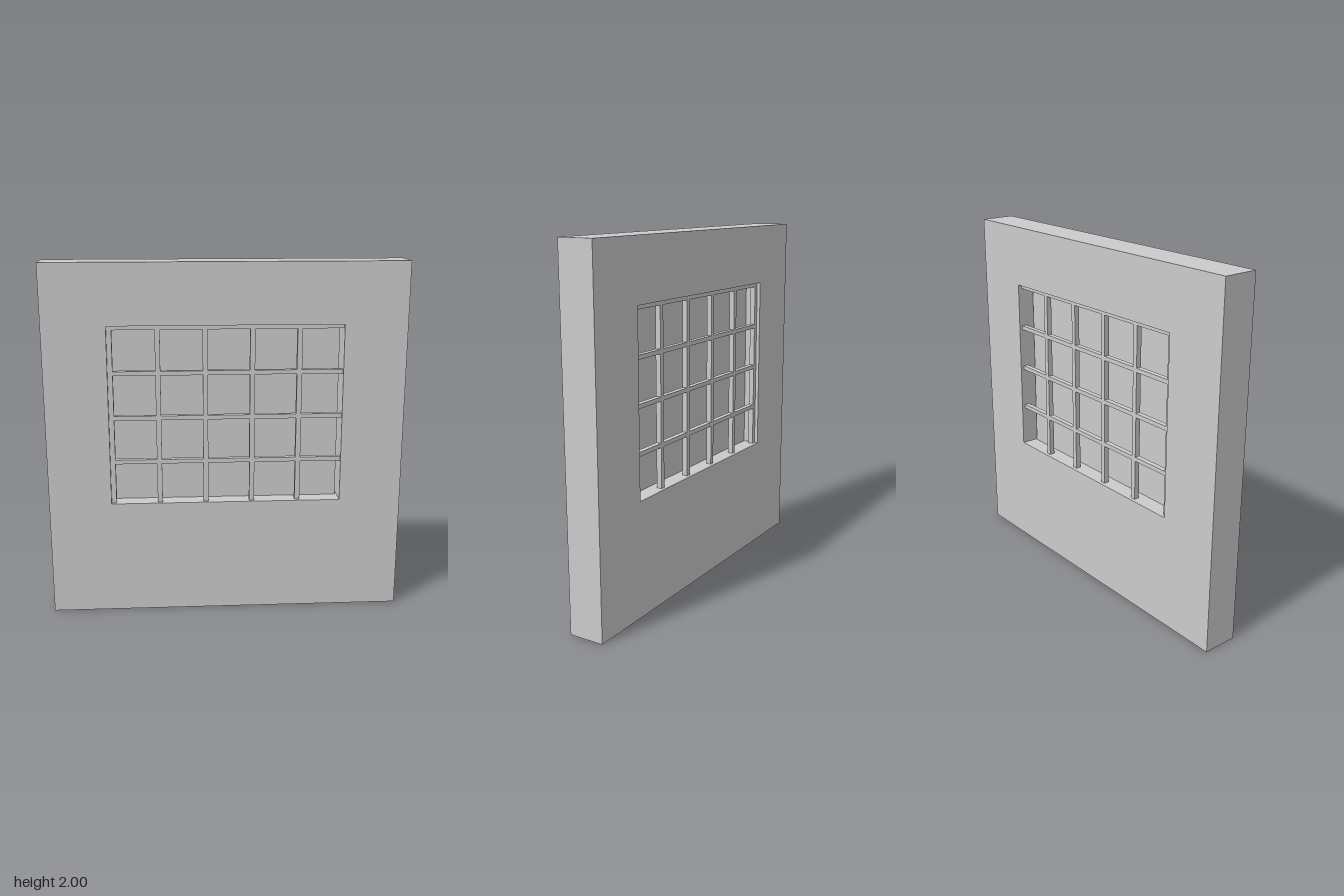
import * as THREE from 'three';

const X0 = -0.65, X1 = 0.65, Y0 = 0.65, Y1 = 1.66; // window opening
const WALL_DEPTH = 0.2;
const BAR_DEPTH = 0.03, BAR_Z = 0.065;

export function createModel() {
  const group = new THREE.Group();
  const material = new THREE.MeshStandardMaterial({ color: 0xcccccc });

  const add = (name, geometry, parent = group) => {
    const mesh = new THREE.Mesh(geometry, material);
    mesh.name = name;
    parent.add(mesh);
    return mesh;
  };

  // Box given by its x and y limits, centred on a depth
  const addBox = (name, xa, xb, ya, yb, z, depth, parent) =>
    add(name, new THREE.BoxGeometry(xb - xa, yb - ya, depth), parent)
      .position.set((xa + xb) / 2, (ya + yb) / 2, z);

  // Square wall with a rectangular opening
  const outline = new THREE.Shape([[-1, 0], [1, 0], [1, 2], [-1, 2]].map(p => new THREE.Vector2(...p)));
  outline.holes.push(new THREE.Path([[X0, Y0], [X0, Y1], [X1, Y1], [X1, Y0]].map(p => new THREE.Vector2(...p))));
  const wall = new THREE.ExtrudeGeometry(outline, { depth: WALL_DEPTH, bevelEnabled: false });
  wall.translate(0, 0, -WALL_DEPTH / 2);
  add('wall', wall);

  // Thin pane in the middle of the opening, just short of one jamb
  addBox('windowPane', X0, 0.64, Y0, Y1, 0, 0.01);

  // A lattice of glazing bars on each side of the pane
  for (const side of [1, -1]) {
    const lattice = new THREE.Group();
    lattice.name = side > 0 ? 'frontLattice' : 'backLattice';
    group.add(lattice);
    const z = side * BAR_Z;
    for (let i = 0; i < 5; i++) {
      const x = X0 + i * 0.261;
      addBox('verticalBar', x, x + 0.028, Y0, Y1, z, BAR_DEPTH, lattice);
    }
    for (let i = 1; i <= 4; i++) {
      const y = Y0 + i * (Y1 - Y0) / 4;
      addBox('horizontalBar', X0, X1, y - 0.024, y, z, BAR_DEPTH, lattice);
    }
  }
  return group;
}
